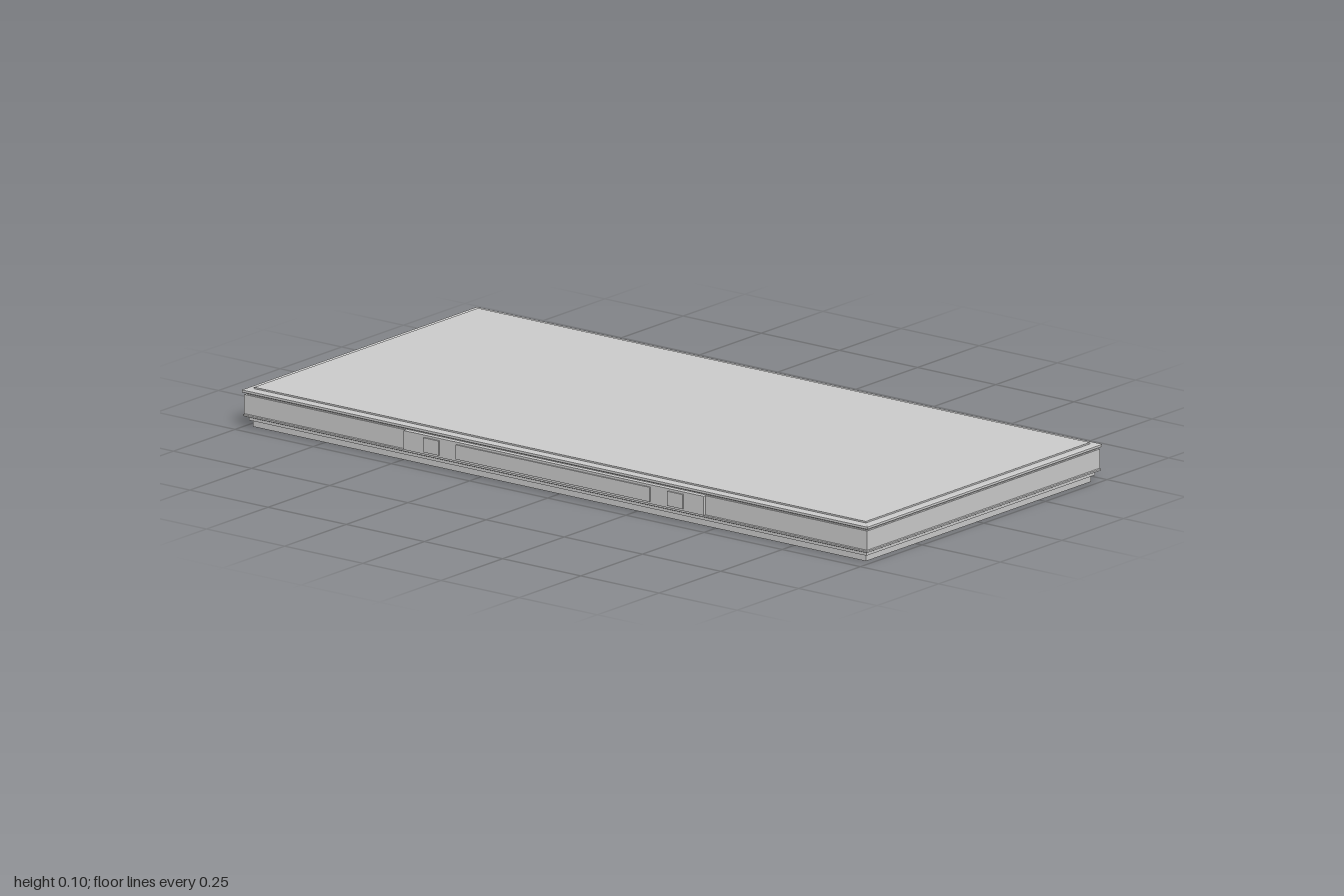
import * as THREE from 'three';

const material = new THREE.MeshStandardMaterial({ color: 0xcccccc, flatShading: true });
const HALF_X = 1, HALF_Z = 0.476, CENTRE_Z = -0.004;

// Rectangular moulding: each profile point is [inset from the edge, height], bottom to top.
function moulding(name, profile) {
  const rings = profile.map(([inset, y]) => {
    const x = HALF_X - inset, z = HALF_Z - inset;
    return [[-x, y, z], [x, y, z], [x, y, -z], [-x, y, -z]];
  });
  const positions = [];
  const quad = (a, b, c, d) => positions.push(...a, ...b, ...c, ...a, ...c, ...d);
  for (let i = 0; i < rings.length - 1; i++) {
    for (let k = 0; k < 4; k++) {
      const n = (k + 1) % 4;
      quad(rings[i][k], rings[i][n], rings[i + 1][n], rings[i + 1][k]);
    }
  }
  const [a, b, c, d] = rings[0];
  quad(d, c, b, a);
  quad(...rings[rings.length - 1]);
  const geometry = new THREE.BufferGeometry();
  geometry.setAttribute('position', new THREE.Float32BufferAttribute(positions, 3));
  geometry.computeVertexNormals();
  const mesh = new THREE.Mesh(geometry, material);
  mesh.name = name;
  mesh.position.z = CENTRE_Z;
  return mesh;
}

// Box given by its limits on each axis.
function block(name, x0, x1, y0, y1, z0, z1) {
  const mesh = new THREE.Mesh(new THREE.BoxGeometry(x1 - x0, y1 - y0, z1 - z0), material);
  mesh.name = name;
  mesh.position.set((x0 + x1) / 2, (y0 + y1) / 2, (z0 + z1) / 2);
  return mesh;
}

export function createModel() {
  const group = new THREE.Group();
  group.name = 'mouldedSlab';

  // Stepped foot under the slab
  group.add(moulding('steppedBase', [[0.02, 0], [0.02, 0.017], [0.013, 0.017], [0.013, 0.027]]));

  // Rounded lower bead, flat frieze band
  group.add(moulding('lowerBead', [[0.006, 0.027], [0.002, 0.029], [0.002, 0.033], [0.006, 0.036]]));
  group.add(moulding('friezeBand', [[0.004, 0.035], [0.004, 0.085], [0.01, 0.085], [0.01, 0.09]]));

  // Top slab with a projecting lip and a shallow raised field
  group.add(moulding('topSlab', [
    [0.004, 0.089], [0, 0.091], [0, 0.097], [0.004, 0.099], [0.022, 0.099], [0.022, 0.103],
  ]));

  // Thin applied panel along the middle of the front, with raised plates
  const panel = new THREE.Group();
  panel.name = 'frontPanel';
  panel.add(block('panelBacking', -0.48, 0.48, 0.035, 0.085, 0.46, 0.476));
  panel.add(block('centrePlate', -0.31, 0.31, 0.041, 0.079, 0.47, 0.48));
  for (const side of [-1, 1]) {
    panel.add(block('endPlate', side * 0.39 - 0.025, side * 0.39 + 0.025, 0.041, 0.079, 0.47, 0.48));
  }
  group.add(panel);
  return group;
}
